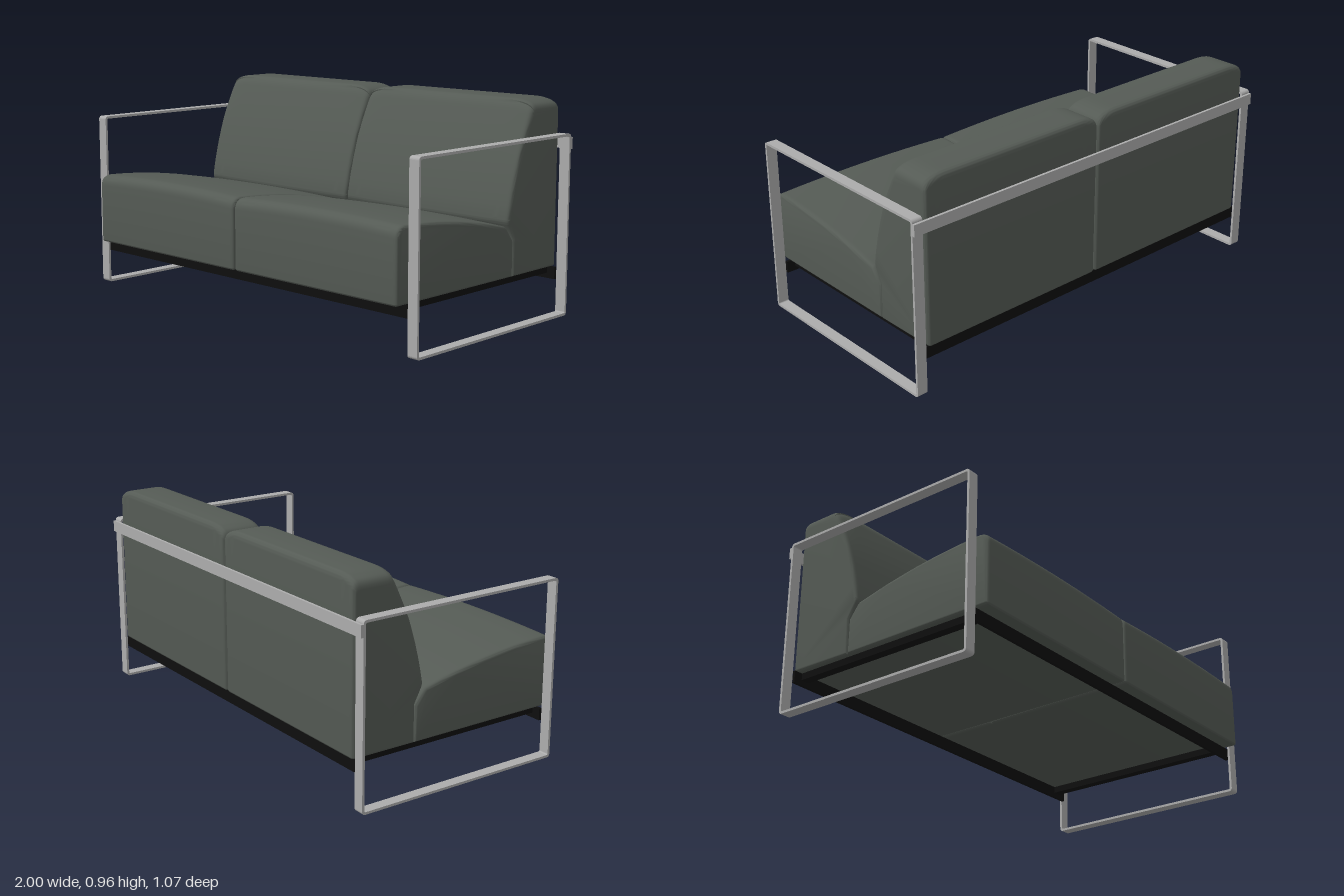
import * as THREE from 'three';
import { toCreasedNormals } from 'three/addons/utils/BufferGeometryUtils.js';

const mat = (name, color) => Object.assign(new THREE.MeshStandardMaterial({ color }), { name });
const clamp = (v) => Math.min(1, Math.max(0, v));

// Lofts a counter-clockwise side profile (z, y) across the width, with filleted ends.
// warp(point, t) adjusts each section, t running from -1 to 1 across the cushion.
function cushionGeometry(profile, half, warp) {
  const pts = profile.getPoints(8);
  const n = pts.length, steps = 40, r = 0.014;
  const normals = pts.map((p, i) => {
    const a = p.clone().sub(pts[(i + n - 1) % n]).normalize();
    const b = pts[(i + 1) % n].clone().sub(p).normalize();
    const t = a.add(b).normalize();
    return new THREE.Vector2(t.y, -t.x);
  });
  const pos = [], index = [];
  for (let s = 0; s <= steps; s++) {
    const t = Math.sin((s / steps - 0.5) * Math.PI);
    const e = Math.min(r, half * (1 - Math.abs(t)));
    const inset = r - Math.sqrt(Math.max(0, r * r - (r - e) ** 2));
    pts.forEach((p, i) => {
      const q = p.clone();
      warp(q, t);
      q.addScaledVector(normals[i], -inset);
      pos.push(half * t, q.y, q.x);
    });
  }
  for (let s = 0; s < steps; s++) {
    for (let i = 0; i < n; i++) {
      const a = s * n + i, b = s * n + (i + 1) % n;
      index.push(a, a + n, b + n, a, b + n, b);
    }
  }
  // End caps
  const last = steps * n;
  for (const [a, b, c] of THREE.ShapeUtils.triangulateShape(pts, [])) {
    index.push(a, b, c, last + a, last + c, last + b);
  }
  const g = new THREE.BufferGeometry();
  g.setAttribute('position', new THREE.Float32BufferAttribute(pos, 3));
  g.setIndex(index);
  return toCreasedNormals(g, 0.7);
}

// Traces a rounded rectangle on a Shape or Path
function roundedRect(path, x0, y0, x1, y1, r) {
  path.moveTo(x0 + r, y0);
  path.lineTo(x1 - r, y0);
  path.absarc(x1 - r, y0 + r, r, -Math.PI / 2, 0);
  path.lineTo(x1, y1 - r);
  path.absarc(x1 - r, y1 - r, r, 0, Math.PI / 2);
  path.lineTo(x0 + r, y1);
  path.absarc(x0 + r, y1 - r, r, Math.PI / 2, Math.PI);
  path.lineTo(x0, y0 + r);
  path.absarc(x0 + r, y0 + r, r, Math.PI, Math.PI * 1.5);
  return path;
}

export function createModel() {
  const model = new THREE.Group();
  model.name = 'sofa';
  const fabric = mat('greyGreenFabric', 0x555b55);
  const metal = mat('brushedMetal', 0xacacac);
  const black = mat('blackSteel', 0x0e0e0e);

  const add = (name, geo, material, x = 0, y = 0, z = 0) => {
    const m = new THREE.Mesh(geo, material);
    m.name = name;
    m.position.set(x, y, z);
    model.add(m);
  };
  const bar = (name, material, x0, x1, y0, y1, z0, z1) =>
    add(name, new THREE.BoxGeometry(x1 - x0, y1 - y0, z1 - z0), material,
      (x0 + x1) / 2, (y0 + y1) / 2, (z0 + z1) / 2);

  // Seat cushion: sloping top with a rounded front edge and a slight crown
  const seat = new THREE.Shape();
  seat.moveTo(-0.21, 0.211);
  seat.lineTo(0.523, 0.211);
  seat.quadraticCurveTo(0.535, 0.211, 0.535, 0.223);
  seat.lineTo(0.535, 0.49);
  seat.quadraticCurveTo(0.535, 0.538, 0.485, 0.541);
  seat.quadraticCurveTo(0.16, 0.53, -0.155, 0.447);
  seat.lineTo(-0.165, 0.44);
  seat.lineTo(-0.21, 0.375);
  const half = 0.467;
  const seatGeo = cushionGeometry(seat, half, (p, t) => {
    p.y -= 0.012 * t * t * clamp((p.y - 0.3) / 0.15);
  });

  // Back cushion: leaning front face, flat back and softly rounded top corners
  const back = new THREE.Shape();
  back.moveTo(-0.508, 0.211);
  back.lineTo(-0.21, 0.211);
  back.lineTo(-0.21, 0.375);
  back.lineTo(-0.168, 0.438);
  back.quadraticCurveTo(-0.16, 0.45, -0.163, 0.47);
  back.quadraticCurveTo(-0.2, 0.68, -0.3, 0.905);
  back.quadraticCurveTo(-0.32, 0.957, -0.355, 0.957);
  back.lineTo(-0.49, 0.957);
  back.quadraticCurveTo(-0.52, 0.957, -0.52, 0.925);
  back.lineTo(-0.52, 0.8);
  back.lineTo(-0.52, 0.223);
  back.quadraticCurveTo(-0.52, 0.211, -0.508, 0.211);
  const backGeo = cushionGeometry(back, half, (p, t) => {
    if (p.x > -0.33 && p.y > 0.4) p.x -= 0.01 * t * t;
    const u = clamp((Math.abs(t) * half - (half - 0.11)) / 0.11);
    p.y -= 0.042 * (1 - Math.sqrt(1 - u * u)) * clamp((p.y - 0.75) / 0.2);
  });

  // Side frame: flat-bar loop serving as legs and armrest
  const loop = roundedRect(new THREE.Shape(), -0.52, 0.003, 0.486, 0.806, 0.015);
  loop.holes.push(roundedRect(new THREE.Path(), -0.509, 0.014, 0.475, 0.795, 0.006));
  const frameGeo = new THREE.ExtrudeGeometry(loop, { depth: 0.05, bevelEnabled: false, curveSegments: 5 });
  frameGeo.rotateY(-Math.PI / 2);
  frameGeo.translate(0.025, -0.003, 0);

  for (const [side, s] of [['left', 1], ['right', -1]]) {
    add(side + 'SeatCushion', seatGeo, fabric, s * 0.469);
    add(side + 'BackCushion', backGeo, fabric, s * 0.469);
    add(side + 'SideFrame', frameGeo, metal, s * 0.975);
    const x = s * 0.89;
    bar(side + 'BaseBar', black, x - 0.02, x + 0.02, 0.18, 0.211, -0.497, 0.464);
  }

  // Base rails and the bar across the back
  bar('frontBaseRail', black, -0.95, 0.95, 0.157, 0.211, 0.462, 0.475);
  bar('backBaseRail', black, -0.95, 0.95, 0.157, 0.211, -0.508, -0.495);
  bar('backRail', metal, -1, 1, 0.735, 0.787, -0.532, -0.52);
  return model;
}
